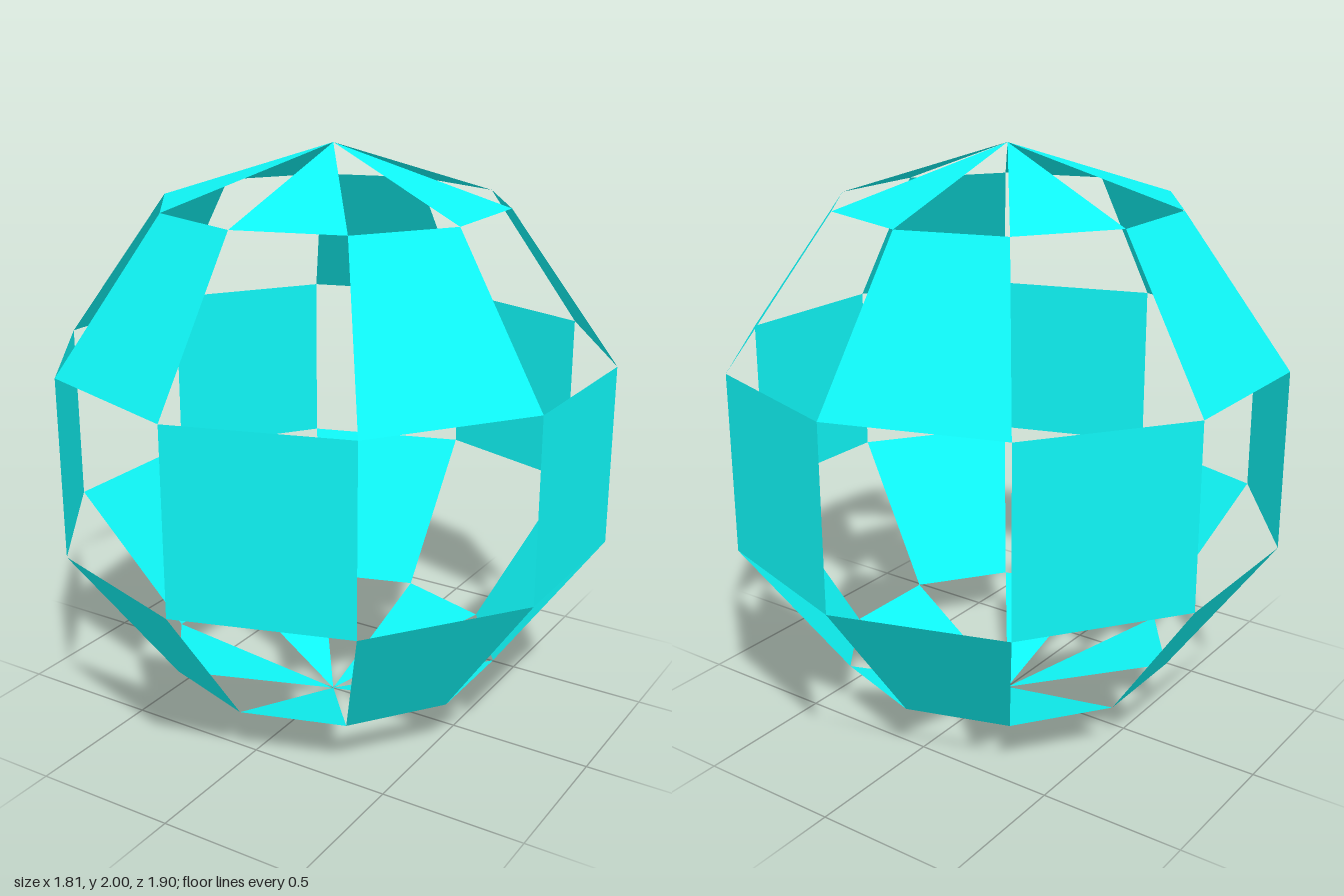
import * as THREE from 'three';

const SEGMENTS = 10;
const BANDS = 5;

export function createModel() {
  const group = new THREE.Group();
  group.name = 'checkeredSphere';
  const material = new THREE.MeshStandardMaterial({
    color: 0x0ff5f5,
    flatShading: true,
    side: THREE.DoubleSide,
  });
  const bandNames = ['topCap', 'upperBand', 'middleBand', 'lowerBand', 'bottomCap'];
  const dPhi = (Math.PI * 2) / SEGMENTS;
  const dTheta = Math.PI / BANDS;

  // Each band holds every other flat panel, staggered against its neighbours
  for (let band = 0; band < BANDS; band++) {
    const ring = new THREE.Group();
    ring.name = bandNames[band];
    for (let k = 0; k < SEGMENTS; k++) {
      if ((k + band) % 2 === 0) continue;
      const geometry = new THREE.SphereGeometry(
        1, 1, 1, (k - 0.5) * dPhi, dPhi, band * dTheta, dTheta);
      // SphereGeometry raises its segments to 3 x 2, so span the patch corners directly
      const corner = (u, v) => new THREE.Vector3().setFromSphericalCoords(
        1, (band + v) * dTheta, (k - 0.5 + u) * dPhi - Math.PI / 2);
      const [a, b, c, d] = [corner(0, 0), corner(0, 1), corner(1, 1), corner(1, 0)];
      const faces = band === 0 ? [a, b, c] : band === BANDS - 1 ? [a, b, d] : [a, b, c, a, c, d];
      geometry.dispose();
      const panelGeometry = new THREE.BufferGeometry().setFromPoints(faces);
      panelGeometry.computeVertexNormals();
      const panel = new THREE.Mesh(panelGeometry, material);
      panel.name = 'panel';
      ring.add(panel);
    }
    ring.position.y = 1;
    group.add(ring);
  }
  return group;
}
